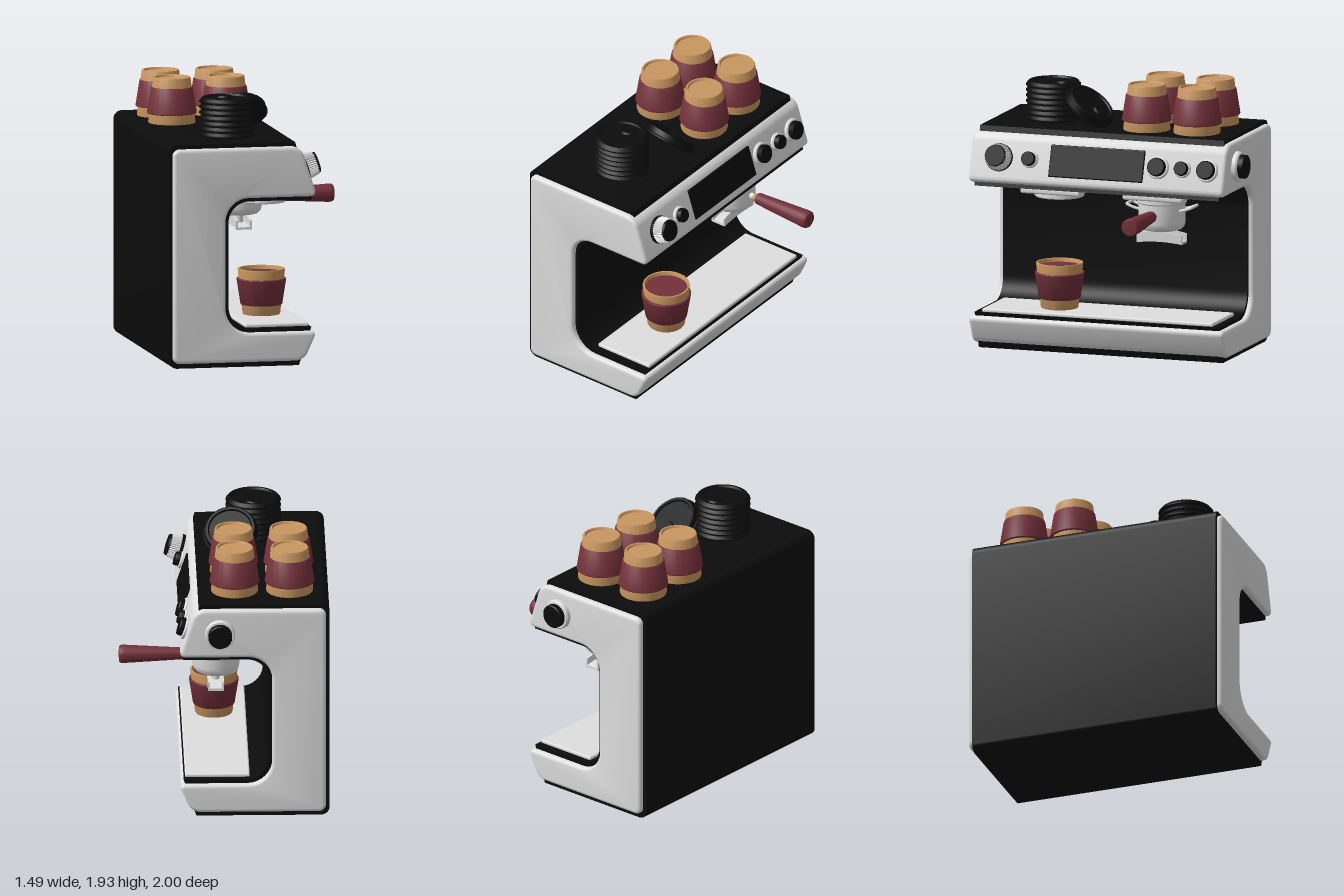
import * as THREE from 'three';
import { toCreasedNormals } from 'three/addons/utils/BufferGeometryUtils.js';
import { RoundedBoxGeometry } from 'three/addons/geometries/RoundedBoxGeometry.js';

const paint = (name, color) => Object.assign(new THREE.MeshStandardMaterial({ color }), { name });

export function createModel() {
  const white = paint('white enamel', 0xdedede);
  const black = paint('black', 0x0c0c0c);
  const maroon = paint('maroon', 0x73303a);
  const tan = paint('tan', 0xc8965f);

  const model = new THREE.Group();
  model.name = 'espressoMachine';

  const add = (parent, name, geometry, material, x = 0, y = 0, z = 0) => {
    const mesh = new THREE.Mesh(geometry, material);
    mesh.name = name;
    mesh.position.set(x, y, z);
    parent.add(mesh);
    return mesh;
  };
  const group = (parent, name, x = 0, y = 0, z = 0) => {
    const g = new THREE.Group();
    g.name = name;
    g.position.set(x, y, z);
    parent.add(g);
    return g;
  };
  const lathe = (points, sides = 48) =>
    toCreasedNormals(new THREE.LatheGeometry(points.map(p => new THREE.Vector2(...p)), sides), 0.6);
  const cylinder = (rTop, rBottom, h, sides = 40) =>
    new THREE.CylinderGeometry(rTop, rBottom, h, sides).translate(0, h / 2, 0);

  // Closed shape from [x, y, corner size] points
  const roundedShape = points => {
    const shape = new THREE.Shape();
    const n = points.length;
    points.forEach(([x, y, r], i) => {
      const c = new THREE.Vector2(x, y);
      const toward = ([px, py], d) =>
        new THREE.Vector2(px - x, py - y).normalize().multiplyScalar(d).add(c);
      const before = points[(i + n - 1) % n], after = points[(i + 1) % n];
      const a = toward(before, r), b = toward(after, r);
      const ca = toward(before, r * 0.45), cb = toward(after, r * 0.45);
      if (i === 0) shape.moveTo(a.x, a.y);
      else shape.lineTo(a.x, a.y);
      if (r > 0) shape.bezierCurveTo(ca.x, ca.y, cb.x, cb.y, b.x, b.y);
    });
    shape.closePath();
    return shape;
  };
  const extrudeZ = (shape, z0, z1, bevel) => {
    const geometry = new THREE.ExtrudeGeometry(shape, {
      depth: z1 - z0 - 2 * bevel, curveSegments: 10, bevelEnabled: bevel > 0,
      bevelSize: bevel, bevelThickness: bevel, bevelOffset: -bevel, bevelSegments: 4,
    }).translate(0, 0, z0 + bevel);
    return toCreasedNormals(geometry, 0.6);
  };

  // White C-shaped housing with a slightly larger black core inside it
  add(model, 'housing', extrudeZ(roundedShape([
    [-0.72, 0.035, 0.05], [0.233, 0.035, 0.06], [0.328, 0.245, 0.05], [-0.338, 0.245, 0.18],
    [-0.338, 1.21, 0.17], [0.328, 1.21, 0.05], [0.21, 1.572, 0.07], [-0.72, 1.572, 0.05],
  ]), -0.92, 1, 0.025), white);
  add(model, 'blackCore', extrudeZ(roundedShape([
    [-0.745, 0, 0.06], [0.2, 0, 0], [0.29, 0.272, 0], [-0.312, 0.272, 0.16],
    [-0.312, 1.184, 0.15], [0.295, 1.184, 0], [0.172, 1.6, 0], [-0.745, 1.6, 0.06],
  ]), -0.88, 0.96, 0), black);

  // Drip tray
  add(model, 'dripTray', new RoundedBoxGeometry(0.46, 0.03, 1.74, 3, 0.012), white, 0.05, 0.282, 0.04);

  // Sloping control panel: local y points out of the panel
  const panel = group(model, 'controlPanel', 0.268, 1.393, 0);
  panel.rotation.z = -Math.atan2(0.362, 0.118);
  add(panel, 'display', new RoundedBoxGeometry(0.232, 0.018, 0.71, 3, 0.008), black, 0, 0.003, 0.045);
  for (const [z, r] of [[0.55, 0.063], [-0.415, 0.082], [-0.6, 0.063], [-0.785, 0.083]]) {
    const button = group(panel, 'button', 0, 0, z);
    add(button, 'buttonRing', lathe([[0, 0], [r, 0], [r, 0.014], [r - 0.008, 0.022], [0, 0.022]]), white);
    add(button, 'buttonCap', lathe([[0, 0], [r * 0.8, 0], [r * 0.8, 0.05], [r * 0.72, 0.058], [0, 0.058]]), black);
  }

  // Ribbed steam dial
  const dial = group(panel, 'steamDial', 0, 0, 0.78);
  add(dial, 'dialBase', cylinder(0.1, 0.1, 0.022), black);
  const ribs = new THREE.Shape();
  for (let i = 0; i < 72; i++) {
    const a = (i / 72) * Math.PI * 2, r = i % 2 ? 0.09 : 0.098;
    ribs[i ? 'lineTo' : 'moveTo'](r * Math.cos(a), r * Math.sin(a));
  }
  const grip = new THREE.ExtrudeGeometry(ribs, { depth: 0.075, bevelEnabled: false }).rotateX(-Math.PI / 2);
  const gp = grip.attributes.position;
  for (let i = 0; i < gp.count; i++) {
    const s = 1 - 2 * gp.getY(i);
    gp.setXYZ(i, gp.getX(i) * s, gp.getY(i), gp.getZ(i) * s);
  }
  grip.computeVertexNormals();
  add(dial, 'dialGrip', grip, white, 0, 0.02, 0);
  add(dial, 'dialCap', cylinder(0.074, 0.08, 0.02), black, 0, 0.09, 0);

  // Side knob
  const sideKnob = group(model, 'sideKnob', 0.033, 1.395, -0.915);
  sideKnob.rotation.x = -Math.PI / 2;
  add(sideKnob, 'sideKnobRing', lathe([[0, 0], [0.107, 0], [0.107, 0.032], [0.099, 0.042], [0, 0.042]]), white);
  add(sideKnob, 'sideKnobCap', lathe([[0, 0], [0.085, 0], [0.085, 0.078], [0.078, 0.085], [0, 0.085]]), black);

  // Two brew heads
  for (const z of [0.405, -0.367]) {
    const head = group(model, 'brewHead', 0.05, 0, z);
    add(head, 'headPlate', new RoundedBoxGeometry(0.425, 0.042, 0.45, 3, 0.015), white, 0, 1.164, 0);
    add(head, 'headRing', lathe([
      [0, 1.118], [0.135, 1.118], [0.14, 1.104], [0.172, 1.104], [0.178, 1.112], [0.178, 1.15],
    ]), white);
  }

  // Portafilter: bowl, ears, spout and handle
  const filter = group(model, 'portafilter', 0.05, 0, -0.367);
  add(filter, 'bowl', lathe([
    [0, 0.908], [0.11, 0.908], [0.14, 0.916], [0.16, 0.937], [0.168, 0.97], [0.168, 1.107], [0, 1.107],
  ]), white);
  for (const s of [1, -1]) {
    const path = new THREE.CatmullRomCurve3([
      [-0.06, 1.055, 0.14], [-0.062, 1.07, 0.2], [-0.055, 1.088, 0.245],
      [0.055, 1.088, 0.245], [0.062, 1.07, 0.2], [0.06, 1.055, 0.14],
    ].map(([x, y, z]) => new THREE.Vector3(x, y, z * s)), false, 'catmullrom', 0.4);
    add(filter, 'ear', new THREE.TubeGeometry(path, 32, 0.011, 8), white);
  }
  // Arched spout channel, drawn along z and given thickness along x
  const spoutPart = (name, lowTop, highTop, width, x) => {
    const s = new THREE.Shape();
    s.moveTo(-0.17, 0.815);
    s.quadraticCurveTo(0, 0.84, 0.17, 0.815);
    s.lineTo(0.17, lowTop);
    s.quadraticCurveTo(0, highTop, -0.17, lowTop);
    const g = new THREE.ExtrudeGeometry(s, { depth: width, bevelEnabled: false, curveSegments: 16 });
    g.translate(0, 0, -width / 2).rotateY(Math.PI / 2);
    add(filter, name, toCreasedNormals(g, 0.6), white, x);
  };
  spoutPart('spoutFloor', 0.832, 0.865, 0.11, 0.004);
  for (const s of [1, -1]) spoutPart('spoutWall', 0.88, 0.922, 0.014, 0.004 + s * 0.05);
  add(filter, 'spoutNeck', cylinder(0.03, 0.03, 0.085), white, 0.004, 0.835, 0);

  const handle = group(filter, 'handle', 0.15, 1.037, 0);
  handle.rotation.z = -Math.PI / 2;
  add(handle, 'handleStem', cylinder(0.022, 0.022, 0.06), white);
  add(handle, 'handleFerrule', cylinder(0.033, 0.028, 0.03), tan, 0, 0.05, 0);
  add(handle, 'handleGrip', lathe([
    [0, 0.078], [0.036, 0.078], [0.042, 0.085], [0.065, 0.5], [0.064, 0.525], [0.055, 0.538], [0, 0.542],
  ]), maroon);

  // Sleeved cups: one under the brew head, four upside down on top
  const cupShell = lathe([
    [0, 0.014], [0.112, 0.014], [0.118, 0], [0.13, 0], [0.134, 0.008], [0.168, 0.318],
    [0.166, 0.327], [0.155, 0.327], [0.152, 0.318], [0.122, 0.03], [0, 0.03],
  ]);
  const cupSleeve = lathe([[0.13, 0.07], [0.145, 0.07], [0.149, 0.075], [0.177, 0.253], [0.174, 0.258], [0.155, 0.258]]);
  const addCup = (x, y, z, inverted) => {
    const cup = group(model, 'cup', x, inverted ? y + 0.327 : y, z);
    if (inverted) cup.rotation.x = Math.PI;
    add(cup, 'cupShell', cupShell, tan);
    add(cup, 'cupSleeve', cupSleeve, maroon);
    return cup;
  };
  add(addCup(0.048, 0.297, 0.405, false), 'drink', cylinder(0.152, 0.15, 0.01), maroon, 0, 0.29, 0);
  for (const x of [-0.468, -0.077]) for (const z of [-0.585, -0.207]) addCup(x, 1.599, z, true);

  // Stack of lids and one leaning against it
  const lidGeometry = h => lathe([
    [0, 0], [0.188, 0], [0.196, 0.006], [0.196, 0.016], [0.188, 0.022], [0.182, h - 0.006], [0.174, h],
    [0.158, h], [0.15, h - 0.012], [0, h - 0.012],
  ]);
  const stack = group(model, 'lidStack', -0.235, 1.6, 0.552);
  for (let i = 0; i < 7; i++) add(stack, 'lid', lidGeometry(0.04), black, 0, i * 0.04, 0);
  const leaning = group(model, 'leaningLid', -0.07, 1.718, 0.235);
  leaning.rotation.set(-0.68, 0, -0.12);
  add(leaning, 'lid', lidGeometry(0.065), black);
  for (const [lid, y] of [[stack, 0.268], [leaning, 0.053]])
    add(lid, 'sipRidge', cylinder(0.05, 0.06, 0.012), black, 0, y, -0.08);

  return model;
}
